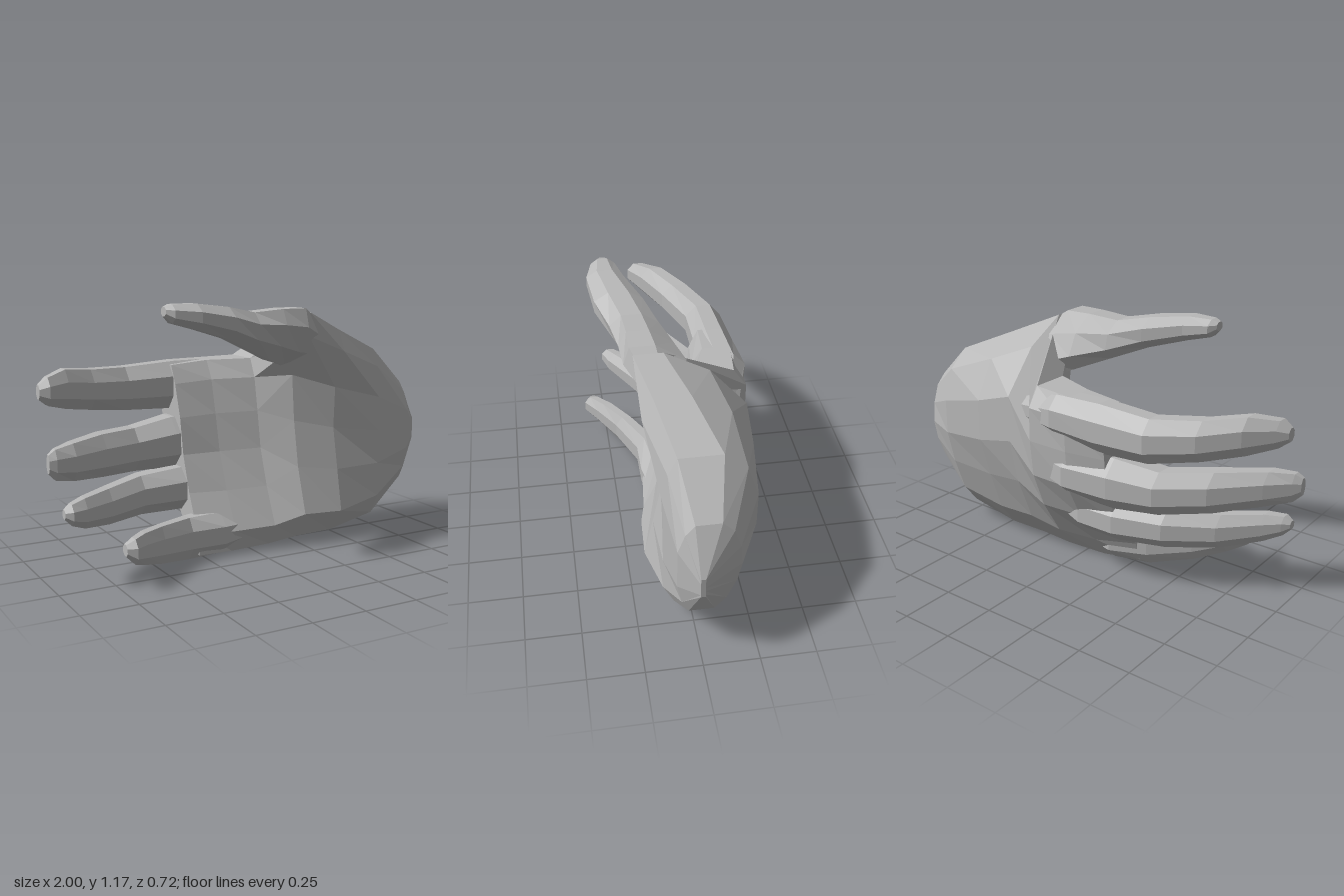
import * as THREE from 'three';

const skin = new THREE.MeshStandardMaterial({ color: 0xb8b8b8, flatShading: true });
skin.name = 'plain grey';

// Skins a list of equal-sized rings running towards -x; each ring turns from +y to +z
function loft(name, rings) {
  const n = rings[0].length, pos = rings.flat(2), index = [];
  const mean = ring => [0, 1, 2].map(k => ring.reduce((s, p) => s + p[k], 0) / n);
  const first = rings.length * n, last = first + 1, end = first - n;
  pos.push(...mean(rings[0]), ...mean(rings[rings.length - 1]));
  for (let i = 0; i < n; i++) {
    const j = (i + 1) % n;
    for (let s = 0; s < rings.length - 1; s++) {
      const a = s * n + i, b = s * n + j;
      index.push(a, a + n, b, b, a + n, b + n);
    }
    index.push(first, i, j, last, end + j, end + i);
  }
  const g = new THREE.BufferGeometry();
  g.setAttribute('position', new THREE.Float32BufferAttribute(pos, 3));
  g.setIndex(index);
  const flat = g.toNonIndexed();
  flat.computeVertexNormals();
  const mesh = new THREE.Mesh(flat, skin);
  mesh.name = name;
  return mesh;
}

// Finger ring: an octagon filling the given y and z extents, its top leaning forward
function fingerRing([x, y0, y1, z0, z1, lean = 0]) {
  const r = 0.5 / Math.cos(Math.PI / 8);
  return Array.from({ length: 8 }, (_, i) => {
    const a = (i + 0.5) * Math.PI / 4, c = r * Math.cos(a), s = r * Math.sin(a);
    return [x, (y0 + y1) / 2 + (y1 - y0) * c, (z0 + z1) / 2 + (z1 - z0) * s + 2 * lean * c];
  });
}

// Palm ring: front and back depths at fixed heights between bottom and top
const heights = [0, 0.12, 0.32, 0.52, 0.72, 0.9, 1];
function palmRing([x, y0, y1, front, back]) {
  const side = depths => heights.map((t, i) => [x, y0 + (y1 - y0) * t, depths[i]]);
  return [...side(front).reverse(), ...side(back)];
}

// x, bottom y, top y, front depths, back depths from wrist to finger roots
const palm = [
  [1.0, 0.44, 0.54, [0.02, 0.02, 0.02, 0.02, 0.02, 0.02, 0.02], [0, 0, 0, 0, 0, 0, 0]],
  [0.9, 0.25, 0.74, [0.05, 0.08, 0.1, 0.1, 0.1, 0.07, 0.03], [-0.06, -0.11, -0.15, -0.17, -0.16, -0.13, -0.08]],
  [0.7, 0.09, 0.92, [0.08, 0.13, 0.13, 0.13, 0.13, 0.11, 0.07], [-0.09, -0.17, -0.23, -0.27, -0.27, -0.22, -0.12]],
  [0.45, 0.035, 1.03, [0.08, 0.18, 0.14, 0.1, 0.11, 0.18, 0.13], [-0.08, -0.17, -0.24, -0.3, -0.3, -0.2, -0.03]],
  [0.25, 0.03, 1.12, [0.08, 0.17, 0.1, 0.06, 0.04, 0.18, 0.19], [-0.07, -0.17, -0.26, -0.31, -0.31, -0.14, 0.06]],
  [0.1, 0.015, 0.89, [0.08, 0.14, 0.06, 0, -0.03, -0.06, -0.1], [-0.06, -0.14, -0.25, -0.32, -0.34, -0.34, -0.28]],
  [-0.1, 0.01, 0.885, [0.08, 0.12, 0.03, -0.04, -0.08, -0.12, -0.17], [-0.04, -0.11, -0.23, -0.32, -0.335, -0.345, -0.3]],
  [-0.28, 0.02, 0.87, [0.1, 0.08, 0, -0.06, -0.09, -0.14, -0.18], [0, -0.04, -0.19, -0.27, -0.29, -0.31, -0.29]],
];

// x, bottom y, top y, back z, front z, lean from root to tip
const digits = {
  thumb: [
    [0.4, 0.86, 1.02, -0.03, 0.11, 0.05], [0.22, 0.85, 1.14, -0.08, 0.19, 0.09], [0.1, 0.9, 1.14, -0.03, 0.21, 0.06],
    [-0.05, 0.96, 1.13, 0.03, 0.25, 0.02], [-0.2, 1.02, 1.16, 0.09, 0.31], [-0.37, 1.07, 1.18, 0.16, 0.33],
    [-0.48, 1.1, 1.18, 0.19, 0.3], [-0.51, 1.13, 1.17, 0.22, 0.27],
  ],
  indexFinger: [
    [0.25, 0.71, 0.8, -0.27, -0.17], [-0.03, 0.69, 0.885, -0.36, -0.17], [-0.25, 0.66, 0.885, -0.345, -0.16],
    [-0.5, 0.67, 0.87, -0.33, -0.16], [-0.7, 0.7, 0.88, -0.24, -0.07], [-0.85, 0.73, 0.9, -0.13, 0.02],
    [-0.95, 0.76, 0.88, -0.03, 0.08], [-0.99, 0.79, 0.85, 0.01, 0.06],
  ],
  middleFinger: [
    [0.25, 0.48, 0.6, -0.25, -0.12], [-0.08, 0.41, 0.63, -0.345, -0.1], [-0.3, 0.39, 0.63, -0.31, -0.08],
    [-0.5, 0.4, 0.6, -0.25, -0.06], [-0.7, 0.42, 0.61, -0.13, 0.06], [-0.88, 0.45, 0.61, 0.03, 0.18],
    [-0.97, 0.47, 0.6, 0.12, 0.2], [-1.0, 0.5, 0.58, 0.15, 0.19],
  ],
  ringFinger: [
    [0.2, 0.28, 0.38, -0.16, -0.06], [-0.1, 0.21, 0.4, -0.25, -0.03], [-0.28, 0.2, 0.4, -0.24, -0.02],
    [-0.5, 0.21, 0.39, -0.17, 0], [-0.7, 0.22, 0.38, -0.04, 0.11], [-0.85, 0.25, 0.38, 0.09, 0.21],
    [-0.92, 0.28, 0.37, 0.15, 0.24], [-0.95, 0.31, 0.35, 0.18, 0.22],
  ],
  littleFinger: [
    [0.15, 0.07, 0.17, -0.04, 0.07], [-0.15, 0.005, 0.2, -0.08, 0.12], [-0.32, 0.005, 0.2, -0.01, 0.12],
    [-0.5, 0.04, 0.21, 0.1, 0.21], [-0.62, 0.08, 0.22, 0.19, 0.3], [-0.69, 0.11, 0.22, 0.26, 0.36],
    [-0.73, 0.15, 0.2, 0.29, 0.34],
  ],
};

export function createModel() {
  const hand = new THREE.Group();
  hand.name = 'hand';
  hand.add(loft('palm', palm.map(palmRing)));
  for (const [name, sections] of Object.entries(digits)) hand.add(loft(name, sections.map(fingerRing)));
  return hand;
}
